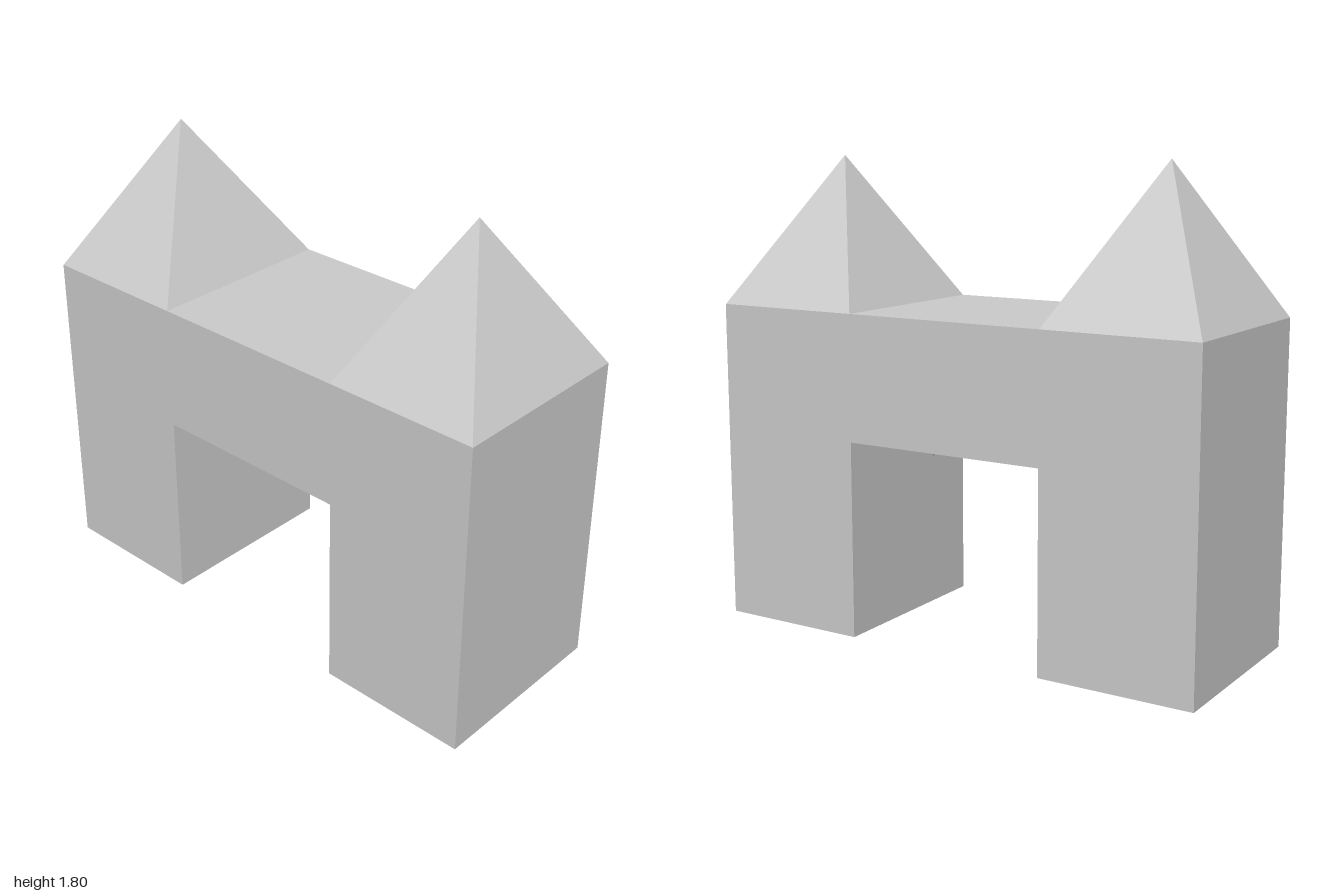
import * as THREE from 'three';

const WIDTH = 0.755, WALL_TOP = 1.235, ROOF_TOP = 1.8;

function add(group, name, geometry, material) {
  const mesh = new THREE.Mesh(geometry, material);
  mesh.name = name;
  group.add(mesh);
}

// Give every face its own flat normal
function faceted(geometry) {
  const flat = geometry.index ? geometry.toNonIndexed() : geometry;
  flat.computeVertexNormals();
  return flat;
}

export function createModel() {
  const group = new THREE.Group();
  group.name = 'gatehouse';
  const stone = new THREE.MeshStandardMaterial({ color: 0xcccccc });
  stone.name = 'pale grey stone';

  // Two towers joined by a bridge, as one arch-shaped profile in z and y
  const profile = new THREE.Shape([
    [-1, 0], [-0.4, 0], [-0.4, 0.755], [0.405, 0.755],
    [0.405, 0], [1, 0], [1, WALL_TOP], [-1, WALL_TOP],
  ].map(([z, y]) => new THREE.Vector2(z, y)));
  const walls = new THREE.ExtrudeGeometry(profile, { depth: WIDTH, bevelEnabled: false });
  walls.translate(0, 0, -WIDTH / 2).rotateY(-Math.PI / 2);
  add(group, 'towersAndBridge', walls, stone);

  // Pyramid roofs
  for (const [name, z] of [['frontRoof', 0.7], ['backRoof', -0.7]]) {
    const height = ROOF_TOP - WALL_TOP;
    const roof = new THREE.ConeGeometry(Math.SQRT1_2, height, 4, 1, true);
    roof.rotateY(Math.PI / 4).scale(WIDTH, 1, 0.598);
    roof.translate(0, WALL_TOP + height / 2, z);
    add(group, name, faceted(roof), stone);
  }

  // Small corner brace under the bridge, against the front tower
  const brace = new THREE.BufferGeometry();
  brace.setAttribute('position', new THREE.Float32BufferAttribute([
    -0.07, 0.755, 0.405, // inner corner, left end
    -0.105, 0.755, 0.25, // along the bridge
    -0.16, 0.6, 0.405, // down the tower
    -0.25, 0.755, 0.405, // inner corner, right end
  ], 3));
  brace.setIndex([0, 2, 1, 1, 2, 3]);
  add(group, 'cornerBrace', faceted(brace), stone);

  return group;
}
